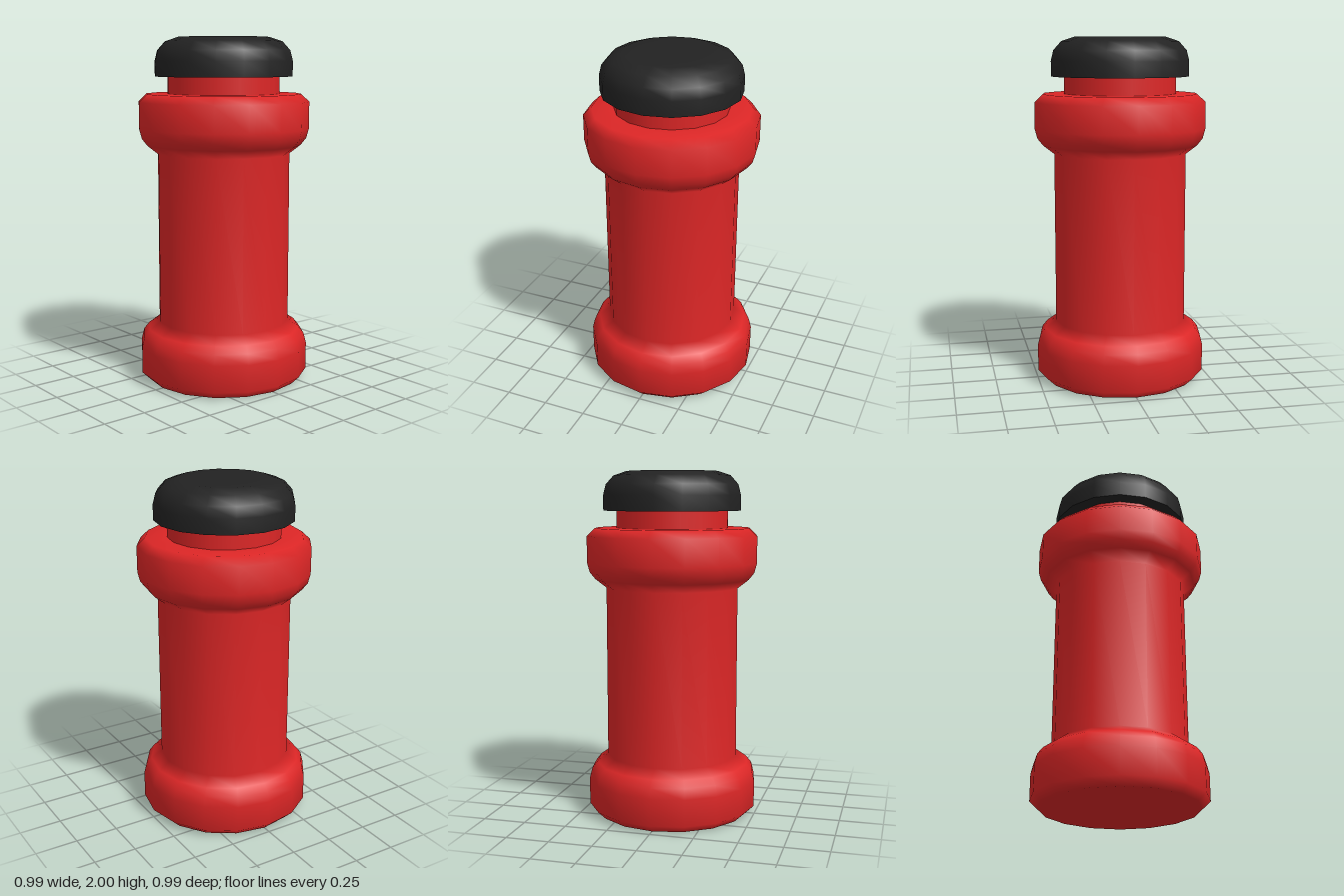
import * as THREE from 'three';

const SIDES = 16;

export function createModel() {
  const model = new THREE.Group();
  const red = new THREE.MeshStandardMaterial({ color: 0xdc2626 });
  red.name = 'red';
  const black = new THREE.MeshStandardMaterial({ color: 0x222222 });
  black.name = 'black';

  // Turned part from [radius, height] pairs listed bottom to top
  function turned(name, profile, material) {
    const points = profile.map(([r, y]) => new THREE.Vector2(r, y));
    const mesh = new THREE.Mesh(new THREE.LatheGeometry(points, SIDES), material);
    mesh.name = name;
    model.add(mesh);
  }

  // Body: wide foot, straight barrel and matching collar, smoothly shaded
  turned('body', [
    [0, 0], [0.3, 0], [0.45, 0], [0.497, 0.045], [0.497, 0.2], [0.482, 0.26], [0.45, 0.3],
    [0.386, 0.345], [0.386, 1.335],
    [0.45, 1.385], [0.482, 1.425], [0.497, 1.48], [0.497, 1.633], [0.45, 1.678], [0.325, 1.678],
  ], red);

  // Neck between collar and cap
  turned('neck', [[0.325, 1.675], [0.325, 1.78]], red);

  // Cap with a rounded upper edge and a flat underside
  turned('cap', [
    [0.4, 1.777], [0.4, 1.865], [0.385, 1.925], [0.34, 1.975], [0.265, 2], [0.15, 2], [0, 2],
  ], black);
  turned('capUnderside', [[0, 1.777], [0.4, 1.777]], black);

  return model;
}
